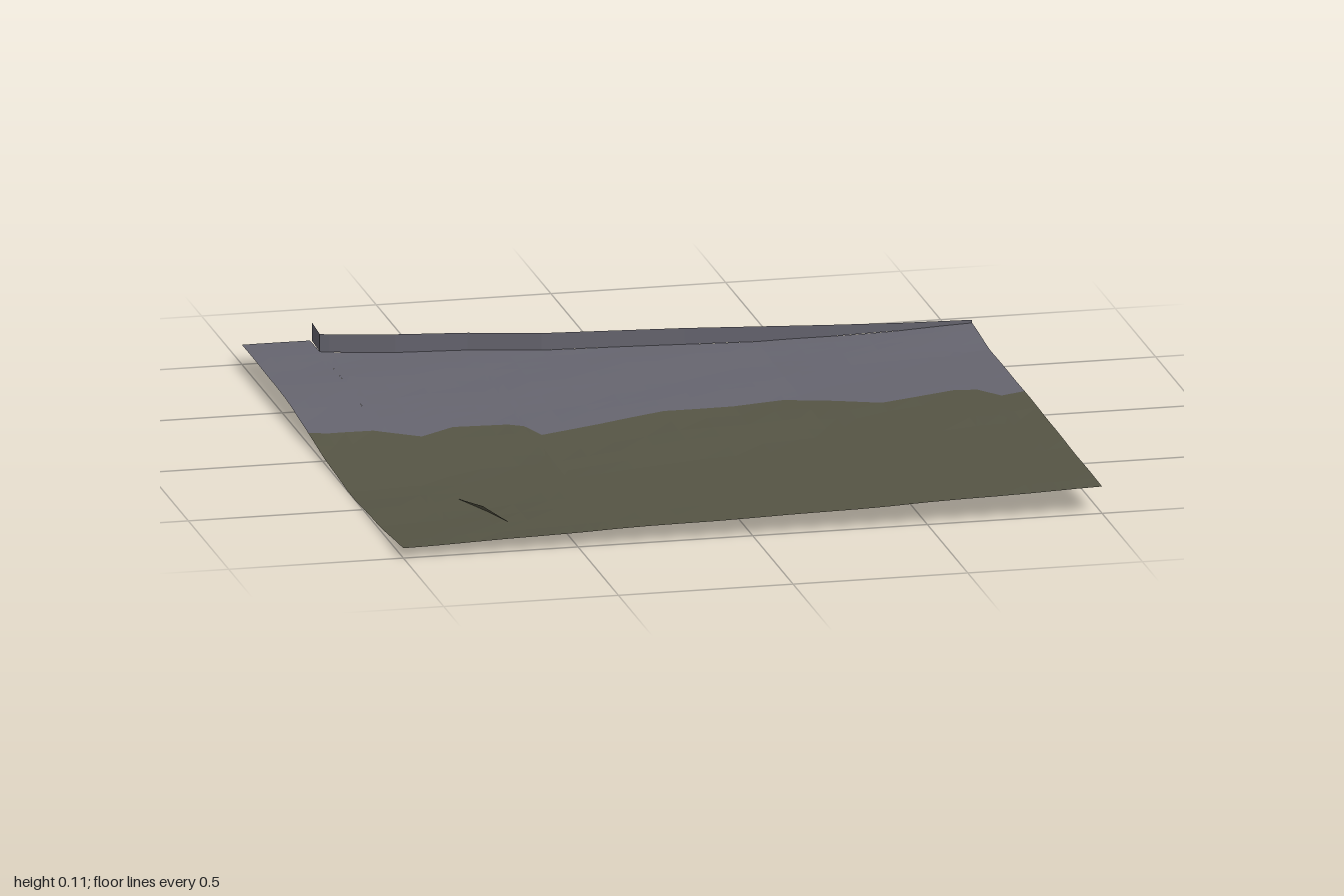
import * as THREE from 'three';

const rock = new THREE.MeshStandardMaterial({ color: 0x66656f, side: THREE.DoubleSide, flatShading: true });
rock.name = 'grey rock';
const grass = new THREE.MeshStandardMaterial({ color: 0x565545, side: THREE.DoubleSide, flatShading: true });
grass.name = 'olive grass';

// Outlines as [x, z] points
const backEdge = [[-0.805, -0.88], [-0.78, -0.87], [-0.6, -0.83], [-0.4, -0.8], [-0.2, -0.75], [0, -0.73],
  [0.2, -0.71], [0.4, -0.68], [0.6, -0.65], [0.8, -0.625], [1, -0.61]];
const grassEdge = [[-1, -0.18], [-0.95, -0.16], [-0.82, -0.15], [-0.7, -0.07], [-0.6, -0.12], [-0.45, -0.09],
  [-0.41, -0.06], [-0.38, 0.03], [0, -0.1], [0.2, -0.1], [0.35, -0.12], [0.45, -0.08], [0.6, 0],
  [0.82, -0.04], [0.88, -0.02], [0.93, 0.06], [1, 0.04]];

// Height samples: one row per x, one column per z
const gridX = [-1, -0.4, 0.4, 1];
const gridZ = [-1, -0.6, -0.4, 0, 0.35, 0.7, 1];
const heights = [
  [0.063, 0.062, 0.055, 0.022, 0.004, 0.015, 0.035],
  [0.063, 0.065, 0.062, 0.05, 0.038, 0.042, 0.05],
  [0.07, 0.07, 0.066, 0.062, 0.058, 0.062, 0.066],
  [0.11, 0.105, 0.09, 0.092, 0.088, 0.086, 0.084],
];

// Linear interpolation through [position, value] points
function along(points, x) {
  let i = 0;
  while (i < points.length - 2 && x > points[i + 1][0]) i++;
  const [a, p] = points[i], [b, q] = points[i + 1];
  return p + (q - p) * THREE.MathUtils.clamp((x - a) / (b - a), 0, 1);
}

function groundHeight(x, z) {
  const column = gridX.map((gx, i) => [gx, along(gridZ.map((gz, j) => [gz, heights[i][j]]), z)]);
  const ripple = 0.0015 * Math.sin(11 * x + 5 * z) * Math.sin(13 * z - 4 * x);
  return Math.max(0, along(column, x) + ripple);
}

// Joins rows of equal length into a sheet
function sheet(rows, material, name) {
  const n = rows[0].length, index = [];
  for (let i = 0; i < rows.length - 1; i++) {
    for (let j = 0; j < n - 1; j++) {
      const a = i * n + j, b = a + n;
      index.push(a, a + 1, b, b, a + 1, b + 1);
    }
  }
  const geometry = new THREE.BufferGeometry();
  geometry.setAttribute('position', new THREE.Float32BufferAttribute(rows.flat(2), 3));
  geometry.setIndex(index);
  geometry.computeVertexNormals();
  const mesh = new THREE.Mesh(geometry, material);
  mesh.name = name;
  return mesh;
}

// Ground between two outlines, following the height field
function ground(x0, x1, back, front, material, name) {
  const xs = [x0, x1];
  for (let x = -1; x <= 1; x += 0.1) xs.push(x);
  for (const [x] of [...back, ...front]) xs.push(x);
  const columns = [...new Set(xs.map(x => +x.toFixed(3)))].filter(x => x >= x0 && x <= x1).sort((a, b) => a - b);
  const steps = 12;
  const rows = columns.map(x => Array.from({ length: steps + 1 }, (_, j) => {
    const z = THREE.MathUtils.lerp(along(back, x), along(front, x), j / steps);
    return [x, groundHeight(x, z), z];
  }));
  return sheet(rows, material, name);
}

export function createModel() {
  const group = new THREE.Group();
  group.name = 'terrainTile';

  group.add(ground(-1, -0.805, [[-1, -1], [1, -1]], grassEdge, rock, 'rockCorner'));
  group.add(ground(-0.805, 1, backEdge, grassEdge, rock, 'rockGround'));
  group.add(ground(-1, 1, grassEdge, [[-1, 1], [1, 1]], grass, 'grassGround'));

  // Low upright lip along the back edge and the notch
  const lip = [[-0.8, -1], ...backEdge].map(([x, z]) => [[x, groundHeight(x, z), z], [x, 0.115, z]]);
  group.add(sheet(lip, rock, 'backLip'));

  // Narrow steep fold in the grass
  const fold = [[-0.73, 0.52], [-0.69, 0.68], [-0.655, 0.83]].map(([x, z], i) => {
    const w = i === 1 ? 0.009 : 0.001, y = groundHeight(x, z);
    return [[x - w, y + w * 2.2, z], [x + w, y + 0.001, z]];
  });
  group.add(sheet(fold.map(r => r.slice().reverse()).reverse(), grass, 'grassFold'));

  return group;
}
